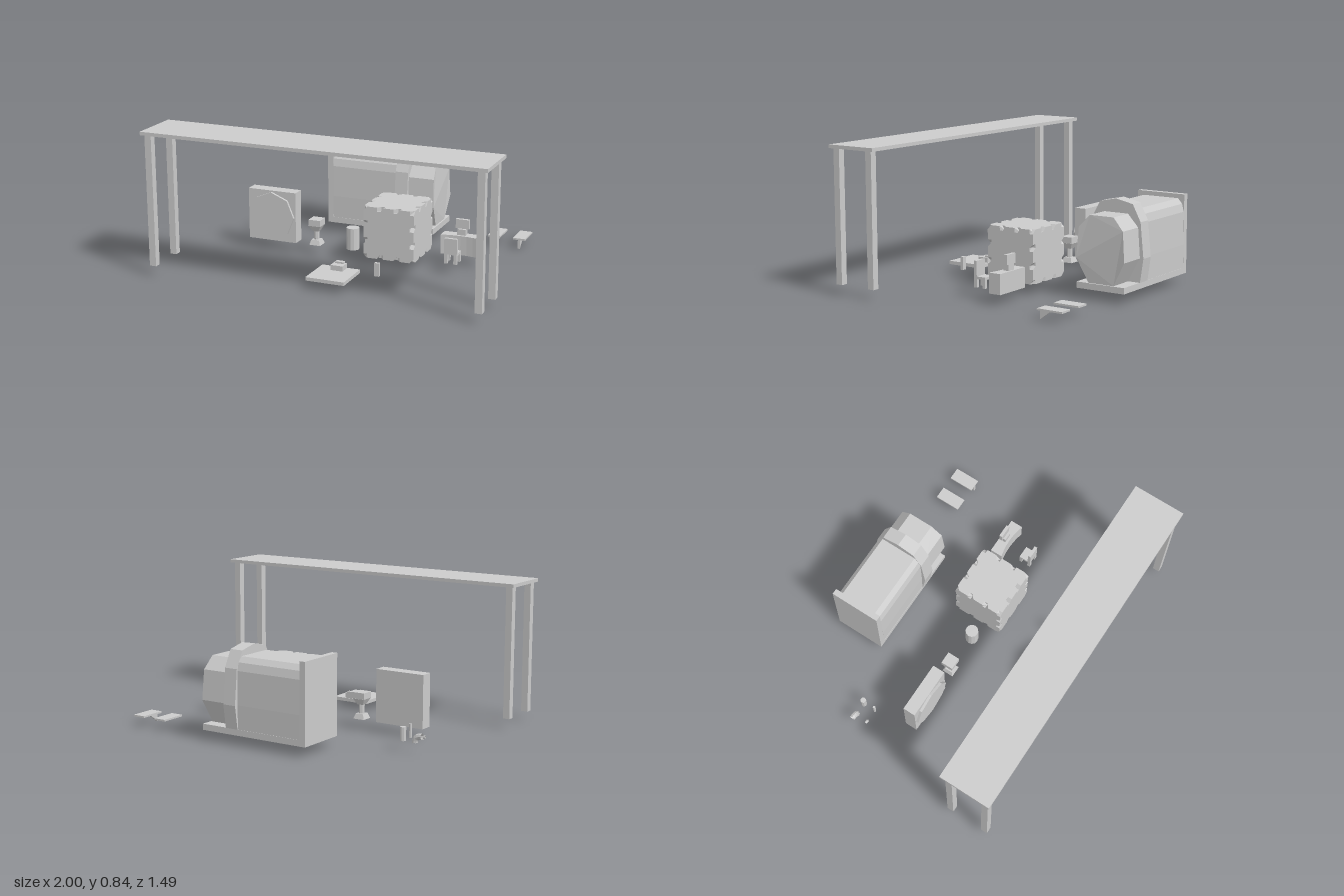
import * as THREE from 'three';

const grey = new THREE.MeshStandardMaterial({ color: 0xcccccc, flatShading: true, side: THREE.DoubleSide });

export function createModel() {
  const root = new THREE.Group();
  const add = (name, geo, parent = root) => {
    const m = new THREE.Mesh(geo, grey);
    m.name = name;
    parent.add(m);
    return m;
  };
  const group = (name) => {
    const g = new THREE.Group();
    g.name = name;
    root.add(g);
    return g;
  };
  // Box given by its limits on each axis
  const box = (name, x0, x1, y0, y1, z0, z1, parent) => add(name,
    new THREE.BoxGeometry(x1 - x0, y1 - y0, z1 - z0)
      .translate((x0 + x1) / 2, (y0 + y1) / 2, (z0 + z1) / 2), parent);
  const post = (name, x, z, r, y0, y1, sides, parent, rTop = r) => add(name,
    new THREE.CylinderGeometry(rTop, r, y1 - y0, sides).translate(x, (y0 + y1) / 2, z), parent);
  const polygon = (pts) => new THREE.Shape(pts.map(([a, b]) => new THREE.Vector2(a, b)));
  // Symmetric cross-section (half width, height) extruded along x
  const prism = (half, x0, x1, z) => {
    const mirrored = half.filter(([a]) => a > 0).map(([a, b]) => [-a, b]).reverse();
    return new THREE.ExtrudeGeometry(polygon([...half, ...mirrored]), { depth: x1 - x0, bevelEnabled: false })
      .rotateY(Math.PI / 2).translate(x0, 0, z);
  };

  // Long table
  const table = group('table');
  box('tableTop', -1, 1, 0.82, 0.84, 0.43, 0.74, table);
  for (const x of [-0.962, 0.962])
    for (const z of [0.474, 0.703])
      box('tableLeg', x - 0.02, x + 0.02, 0.06, 0.82, z - 0.02, z + 0.02, table);

  // Large machine: back plate, base, housing, collar and nose
  const machine = group('machine');
  const mz = -0.57;
  box('backPlate', -0.385, -0.35, 0.06, 0.52, -0.722, -0.418, machine);
  box('machineBase', -0.385, 0.303, 0.06, 0.095, -0.722, -0.418, machine);
  add('housing', prism([[0.15, 0.09], [0.153, 0.23], [0.15, 0.42], [0.138, 0.465], [0.112, 0.495]],
    -0.35, 0.06, mz), machine);
  add('collar', prism([[0.155, 0.095], [0.175, 0.23], [0.155, 0.43], [0.105, 0.525], [0, 0.547]],
    0.06, 0.14, mz), machine);
  const nose = prism([[0.08, 0.095], [0.153, 0.23], [0.14, 0.4], [0.075, 0.47]], 0.14, 0.305, mz);
  const np = nose.attributes.position;
  for (let i = 0; i < np.count; i++)
    if (np.getX(i) > 0.2) np.setX(i, 0.305 - 0.015 * ((np.getY(i) - 0.27) / 0.2) ** 2);
  add('nose', nose, machine);

  // Square panel with an eight-sided disc
  const panel = group('panel');
  box('panelBody', -0.695, -0.39, 0.06, 0.367, -0.03, 0.045, panel);
  add('panelDisc', new THREE.CylinderGeometry(0.145, 0.145, 0.016, 8)
    .rotateX(Math.PI / 2).translate(-0.543, 0.214, 0.052), panel);

  // Block with a nick at each third of every edge and chipped corners
  const stops = [0, 0.08, 0.27, 0.335, 0.4, 0.6, 0.665, 0.73, 0.92, 1];
  const block = new THREE.BoxGeometry(1, 1, 1, 9, 9, 9);
  const bp = block.attributes.position;
  for (let i = 0; i < bp.count; i++) {
    const k = [bp.getX(i), bp.getY(i), bp.getZ(i)].map((v) => Math.round((v + 0.5) * 9));
    const ends = k.filter((v) => v === 0 || v === 9).length;
    const nick = ends === 3 || (ends === 2 && k.some((v) => v === 3 || v === 6));
    const pull = nick ? (ends === 3 ? 0.04 : 0.08) : 0;
    const p = k.map((v) => stops[v] - 0.5 + (v === 0 ? pull : v === 9 ? -pull : 0));
    bp.setXYZ(i, ...p);
  }
  add('nickedBlock', block.scale(0.307, 0.307, 0.31).translate(0.228, 0.214, -0.029));

  // Pedestal with a square head
  const pedestal = group('pedestal');
  const px = -0.272, pz = 0.005, half = 0.037, s = Math.SQRT2;
  box('pedestalHead', px - half, px + half, 0.178, 0.215, pz - half, pz + half, pedestal);
  const taper = new THREE.CylinderGeometry(half * s, 0.018 * s, 0.035, 4).rotateY(Math.PI / 4);
  add('pedestalTaper', taper.translate(px, 0.16, pz), pedestal);
  post('pedestalStem', px, pz, 0.017, 0.08, 0.145, 8, pedestal);
  const foot = new THREE.CylinderGeometry(0.024 * s, 0.035 * s, 0.03, 4).rotateY(Math.PI / 4);
  add('pedestalFoot', foot.translate(px, 0.075, pz), pedestal);

  post('drum', -0.041, 0.005, 0.038, 0.06, 0.19, 12);

  // Bracket with a hollowed front face and an upright plate
  const bracket = group('bracket');
  const plan = polygon([[0.46, 0.185], [0.69, 0.185], [0.69, 0.11]]);
  plan.quadraticCurveTo(0.575, 0.14, 0.46, 0.11);
  add('bracketBody', new THREE.ExtrudeGeometry(plan, { depth: 0.115, bevelEnabled: false, curveSegments: 6 })
    .rotateX(-Math.PI / 2).translate(0, 0.06, 0), bracket);
  box('bracketStem', 0.55, 0.6, 0.175, 0.21, -0.175, -0.14, bracket);
  box('bracketHead', 0.535, 0.615, 0.21, 0.265, -0.175, -0.155, bracket);

  // Stool: tall back plate with an arched foot, low seat behind it
  const stool = group('stool');
  const back = polygon([[0.537, 0.06], [0.557, 0.06], [0.557, 0.115], [0.593, 0.115],
    [0.593, 0.06], [0.613, 0.06], [0.613, 0.21], [0.537, 0.21]]);
  add('stoolBack', new THREE.ExtrudeGeometry(back, { depth: 0.018, bevelEnabled: false }).translate(0, 0, 0.03), stool);
  box('stoolSeat', 0.537, 0.613, 0.108, 0.123, -0.027, 0.03, stool);
  for (const x of [0.537, 0.598])
    box('stoolLeg', x, x + 0.015, 0.06, 0.108, -0.027, -0.01, stool);

  // Flat tray with a stepped box and a loose pin beside it
  const tray = group('tray');
  box('trayPlate', -0.08, 0.15, 0.05, 0.07, 0.355, 0.585, tray);
  box('trayBox', 0, 0.073, 0.07, 0.1, 0.36, 0.425, tray);
  box('trayCap', 0.012, 0.062, 0.1, 0.11, 0.36, 0.385, tray);
  box('pin', 0.253, 0.281, 0.06, 0.137, 0.382, 0.4);

  // Two flat pads, the outer one with a fin beneath
  const pads = group('pads');
  for (const x of [0.652, 0.807])
    box('pad', x - 0.038, x + 0.038, 0.056, 0.066, -0.685, -0.53, pads);
  const fin = polygon([[0.53, 0.058], [0.53, 0.002], [0.605, 0.058]]);
  add('padFin', new THREE.ExtrudeGeometry(fin, { depth: 0.014, bevelEnabled: false })
    .rotateY(Math.PI / 2).translate(0.8, 0, 0), pads);

  // Pipe pieces: an elbow and a straight length in two sizes
  const pipes = group('pipes');
  for (const [z, r, x0, x1] of [[-0.302, 0.017, -0.85, -0.807], [-0.225, 0.008, -0.826, -0.808]]) {
    const y = 0.06 + (x1 - x0) * 0.9;
    const bend = new THREE.QuadraticBezierCurve3(new THREE.Vector3(x0, y, z),
      new THREE.Vector3(x1, y, z), new THREE.Vector3(x1, 0.06, z));
    add('elbow', new THREE.TubeGeometry(bend, 5, r, 8), pipes);
    post('straightPipe', -0.733, z, r, 0.06, 0.137, 8, pipes);
  }

  return root;
}
